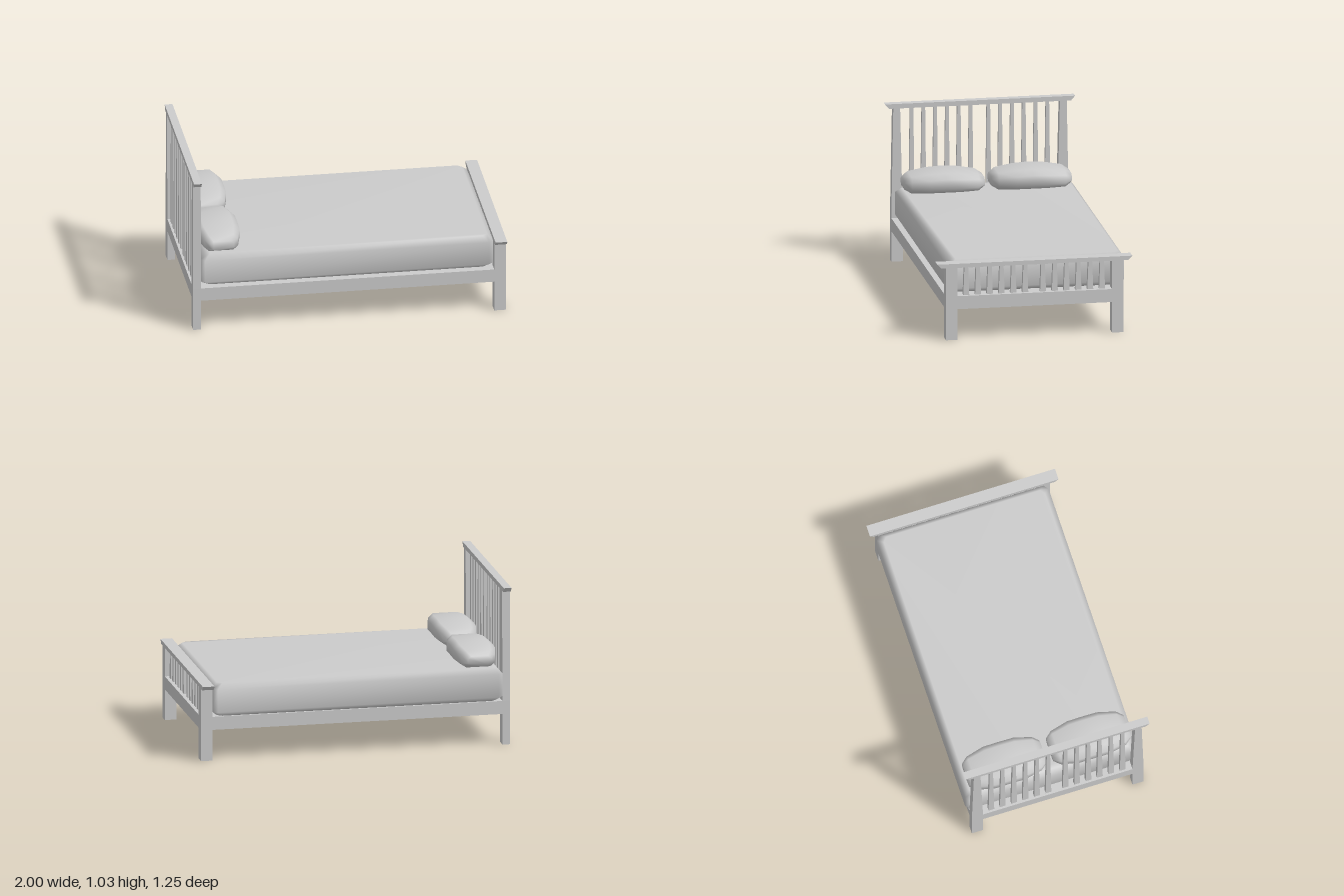
import * as THREE from 'three';

const material = new THREE.MeshStandardMaterial({ color: 0xcccccc });

function addMesh(parent, name, geometry) {
  const mesh = new THREE.Mesh(geometry, material);
  mesh.name = name;
  parent.add(mesh);
  return mesh;
}

// Flat outline of [z, y] points, extruded along x from x0 to x1
function plank(points, x0, x1) {
  const shape = new THREE.Shape(points.map(([z, y]) => new THREE.Vector2(z, y)));
  const geometry = new THREE.ExtrudeGeometry(shape, { depth: x1 - x0, bevelEnabled: false });
  return geometry.rotateY(-Math.PI / 2).translate(x1, 0, 0);
}

// Upright symmetric trapezoid centred on z
function taper(z, halfBottom, halfTop, y0, y1, x0, x1) {
  return plank([[z - halfBottom, y0], [z + halfBottom, y0], [z + halfTop, y1], [z - halfTop, y1]], x0, x1);
}

function box(x0, x1, y0, y1, z0, z1) {
  return new THREE.BoxGeometry(x1 - x0, y1 - y0, z1 - z0)
    .translate((x0 + x1) / 2, (y0 + y1) / 2, (z0 + z1) / 2);
}

// Eight-cornered ring in (a, b), counter-clockwise
function octagon(a0, a1, b0, b1, ca, cb) {
  return [
    [a0 + ca, b0], [a1 - ca, b0], [a1, b0 + cb], [a1, b1 - cb],
    [a1 - ca, b1], [a0 + ca, b1], [a0, b1 - cb], [a0, b0 + cb],
  ];
}

// Smooth closed skin over a stack of rings (counter-clockwise about the stacking direction)
function loft(rings) {
  const n = rings[0].length;
  const positions = rings.flat(2);
  const index = [];
  for (let r = 0; r < rings.length - 1; r++) {
    for (let i = 0; i < n; i++) {
      const a = r * n + i, b = r * n + (i + 1) % n;
      index.push(a, b, b + n, a, b + n, a + n);
    }
  }
  const last = (rings.length - 1) * n;
  for (let i = 1; i < n - 1; i++) {
    index.push(0, i + 1, i, last, last + i, last + i + 1);
  }
  const geometry = new THREE.BufferGeometry();
  geometry.setAttribute('position', new THREE.Float32BufferAttribute(positions, 3));
  geometry.setIndex(index);
  geometry.computeVertexNormals();
  return geometry;
}

// Posts, lower rail, slats and flared cap of one bed end
function bedEnd(name, { x0, x1, slatInset, postTop, capTop, capHalf, topOuter, topInner }) {
  const group = new THREE.Group();
  group.name = name;
  const railTop = 0.285;
  for (const side of [1, -1]) {
    const post = [[0.496, 0], [0.57, 0], [0.57, railTop], [topOuter, postTop], [topInner, postTop], [0.496, railTop]];
    addMesh(group, 'post', plank(post.map(([z, y]) => [z * side, y]), x0, x1));
    for (let i = 0; i < 6; i++) {
      const z = side * (0.057 + i * 0.0758);
      const halfTop = postTop > 0.8 ? 0.0105 : 0.012;
      addMesh(group, 'slat', taper(z, 0.019, halfTop, railTop, postTop, x0 + slatInset, x1 - slatInset));
    }
  }
  addMesh(group, 'endRail', box(x0, x1, 0.2, railTop, -0.496, 0.496));
  addMesh(group, 'cap', taper(0, capHalf - 0.025, capHalf, postTop, capTop, x0, x1));
  return group;
}

// Pillow resting on the mattress, lofted along z
function pillow(centerZ) {
  const x = -0.807;
  const sections = [
    // z offset, half width, bottom, top
    [-0.257, 0.075, 0.522, 0.58],
    [-0.215, 0.108, 0.5, 0.606],
    [-0.1, 0.135, 0.5, 0.621],
    [0, 0.135, 0.5, 0.627],
    [0.1, 0.135, 0.5, 0.621],
    [0.215, 0.108, 0.5, 0.606],
    [0.257, 0.075, 0.522, 0.58],
  ];
  return loft(sections.map(([dz, w, y0, y1]) =>
    octagon(x - w, x + w, y0, y1, w * 0.28, (y1 - y0) * 0.26)
      .map(([a, b]) => [a, b, centerZ + dz])));
}

// Mattress with chamfered corners and edges, lofted upward
function mattress() {
  const layers = [[0.285, 0.035], [0.315, 0], [0.465, 0], [0.5, 0.035]]; // height, inset
  return loft(layers.map(([y, inset]) =>
    octagon(-0.95 + inset, 0.925 - inset, -0.55 + inset, 0.59 - inset, 0.03, 0.025)
      .map(([a, b]) => [a, y, -b])));
}

export function createModel() {
  const bed = new THREE.Group();
  bed.name = 'bed';

  bed.add(bedEnd('headboard', {
    x0: -1, x1: -0.95, slatInset: 0.014, postTop: 1.0, capTop: 1.03,
    capHalf: 0.61, topOuter: 0.557, topInner: 0.513,
  }));
  bed.add(bedEnd('footboard', {
    x0: 0.925, x1: 1, slatInset: 0.022, postTop: 0.47, capTop: 0.497,
    capHalf: 0.626, topOuter: 0.57, topInner: 0.496,
  }));

  addMesh(bed, 'base', box(-0.95, 0.925, 0.2, 0.285, -0.57, 0.57));
  addMesh(bed, 'mattress', mattress());
  addMesh(bed, 'leftPillow', pillow(0.265));
  addMesh(bed, 'rightPillow', pillow(-0.293));

  // Mirrored outlines come out counter-clockwise because Shape extrusion corrects their winding
  return bed;
}
